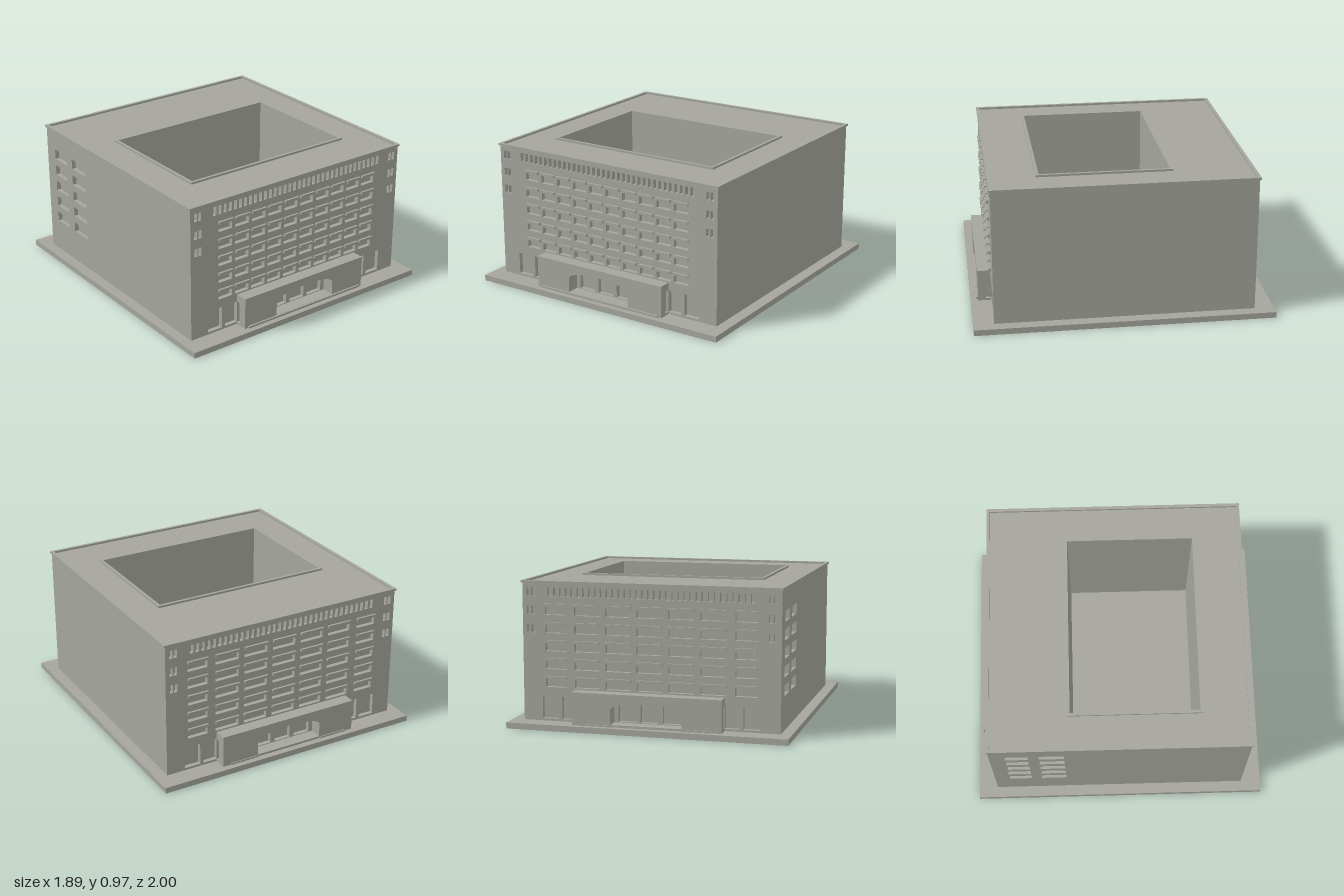
import * as THREE from 'three';

const H = 0.867;      // half width of the building
const DEPTH = 0.03;   // window recess
const Y0 = 0.04, ROOF = 0.957, TOP = 0.971;

export function createModel() {
  const model = new THREE.Group();
  model.name = 'courtyardBuilding';
  const stone = new THREE.MeshStandardMaterial({ color: 0xa5a59e });
  stone.name = 'warm grey stone';

  const add = (parent, name, geometry) => {
    const mesh = new THREE.Mesh(geometry, stone);
    mesh.name = name;
    parent.add(mesh);
    return mesh;
  };
  const box = (parent, name, x0, x1, y0, y1, z0, z1) => {
    const g = new THREE.BoxGeometry(x1 - x0, y1 - y0, z1 - z0);
    g.translate((x0 + x1) / 2, (y0 + y1) / 2, (z0 + z1) / 2);
    return add(parent, name, g);
  };
  const poly = (pts, Type = THREE.Shape) => new Type(pts.map(p => new THREE.Vector2(...p)));
  const rect = (x0, x1, y0, y1, Type) => poly([[x0, y0], [x1, y0], [x1, y1], [x0, y1]], Type);
  const extrude = (shape, z0, z1) => {
    const g = new THREE.ExtrudeGeometry(shape, { depth: z1 - z0, bevelEnabled: false, curveSegments: 16 });
    return g.translate(0, 0, z0);
  };
  // Flat wall with rectangular openings [x0, x1, y0, y1]
  const wall = (half, openings) => {
    const s = rect(-half, half, Y0, ROOF);
    openings.forEach(o => s.holes.push(rect(...o, THREE.Path)));
    return extrude(s, H - DEPTH, H);
  };
  // Horizontal rectangular ring, extents as [x0, x1, z0, z1]
  const ring = (o, i, y0, y1) => {
    const s = rect(o[0], o[1], -o[3], -o[2]);
    s.holes.push(rect(i[0], i[1], -i[3], -i[2], THREE.Path));
    return extrude(s, y0, y1).rotateX(-Math.PI / 2);
  };

  box(model, 'basePlate', -0.943, 0.943, 0, Y0, -1, 1);

  const building = new THREE.Group();
  building.name = 'building';
  building.position.set(-0.003, 0, -0.003);
  model.add(building);

  // Body around the courtyard, and raised roof rims
  const court = [-0.617, 0.617, -0.322, 0.538];
  const inset = H - DEPTH;
  add(building, 'body', ring([-inset, H, -inset, inset], court, Y0, ROOF));
  const e = 0.876, r = 0.854;
  add(building, 'roofRim', ring([-e, e, -e, e], [-r, r, -r, r], ROOF, TOP));
  add(building, 'courtyardRim', ring([-0.637, 0.637, -0.342, 0.558], court, ROOF, TOP));

  const rows = [0, 1, 2, 3, 4].map(i => 0.267 + i * 0.12);

  // Porch layer with an arched opening; notch cuts into both ends
  const porchLayer = (notch, z0, z1) => {
    const w = 0.502, n = w - notch, right = [[w, Y0]];
    if (notch) right.push([w, 0.055], [n, 0.055], [n, 0.205], [w, 0.205]);
    right.push([w, 0.257]);
    const left = right.map(([x, y]) => [-x, y]).reverse();
    const s = poly([...right, ...left]);
    const arch = new THREE.Path();
    arch.moveTo(-0.24, 0.055);
    arch.lineTo(0.24, 0.055);
    arch.lineTo(0.24, 0.155);
    arch.bezierCurveTo(0.22, 0.19, 0.13, 0.204, 0, 0.204);
    arch.bezierCurveTo(-0.13, 0.204, -0.22, 0.19, -0.24, 0.155);
    arch.closePath();
    s.holes.push(arch);
    return extrude(s, z0, z1);
  };

  // One main side: wall, sunshades and porch. columns holds [centre, width]
  const facade = (name, columns) => {
    const g = new THREE.Group();
    g.name = name;
    const openings = [];
    for (const [c, w] of columns) for (const y of rows) {
      openings.push([c - w / 2, c + w / 2, y, y + 0.056]);
      box(g, 'sunshade', c - w / 2 - 0.002, c + w / 2 + 0.002, y + 0.056, y + 0.074, H - 0.005, H + 0.015);
    }
    // Slits under the roof
    for (let i = -17; i <= 17; i++) openings.push([i * 0.04 - 0.012, i * 0.04 + 0.012, 0.87, 0.93]);
    // Corner window pairs and ground floor doors
    for (const s of [-1, 1]) {
      const pair = (a, b, y0, y1) => openings.push([Math.min(s * a, s * b), Math.max(s * a, s * b), y0, y1]);
      for (const y of [0.627, 0.747, 0.868]) {
        pair(0.784, 0.807, y, y + 0.055);
        pair(0.815, 0.838, y, y + 0.055);
      }
      pair(0.503, 0.6, 0.055, 0.205);
      pair(0.624, 0.736, 0.055, 0.205);
    }
    // Entrance doors behind the arch
    for (const x of [-0.15, 0, 0.15]) openings.push([x - 0.06, x + 0.06, 0.06, 0.18]);
    add(g, 'wall', wall(H, openings));
    add(g, 'porchBack', porchLayer(0.02, H, 0.9));
    add(g, 'porchFront', porchLayer(0, 0.9, 0.954));
    building.add(g);
    return g;
  };

  const front = facade('frontFacade', Array.from({ length: 10 }, (_, i) => [(i - 4.5) * 0.133, 0.109]));
  box(front, 'step', -0.478, 0.478, Y0, 0.054, 0.95, 0.966);

  const back = facade('backFacade', [-3, -2, -1, 0, 1, 2, 3].map(i =>
    Math.abs(i) === 3 ? [Math.sign(i) * 0.64, 0.142] : [i * 0.2125, 0.17]));
  back.rotation.y = Math.PI;
  for (const s of [-1, 1]) box(back, 'step', s * 0.345 - 0.1, s * 0.345 + 0.1, Y0, 0.052, 0.95, 0.96);

  // Right side wall with two columns of windows near the back
  const sideOpenings = [];
  for (const [z0, z1] of [[-0.765, -0.61], [-0.54, -0.37]])
    for (const y of rows) sideOpenings.push([z0, z1, y, y + 0.07]);
  add(building, 'rightWall', wall(inset, sideOpenings)).rotation.y = -Math.PI / 2;

  return model;
}
